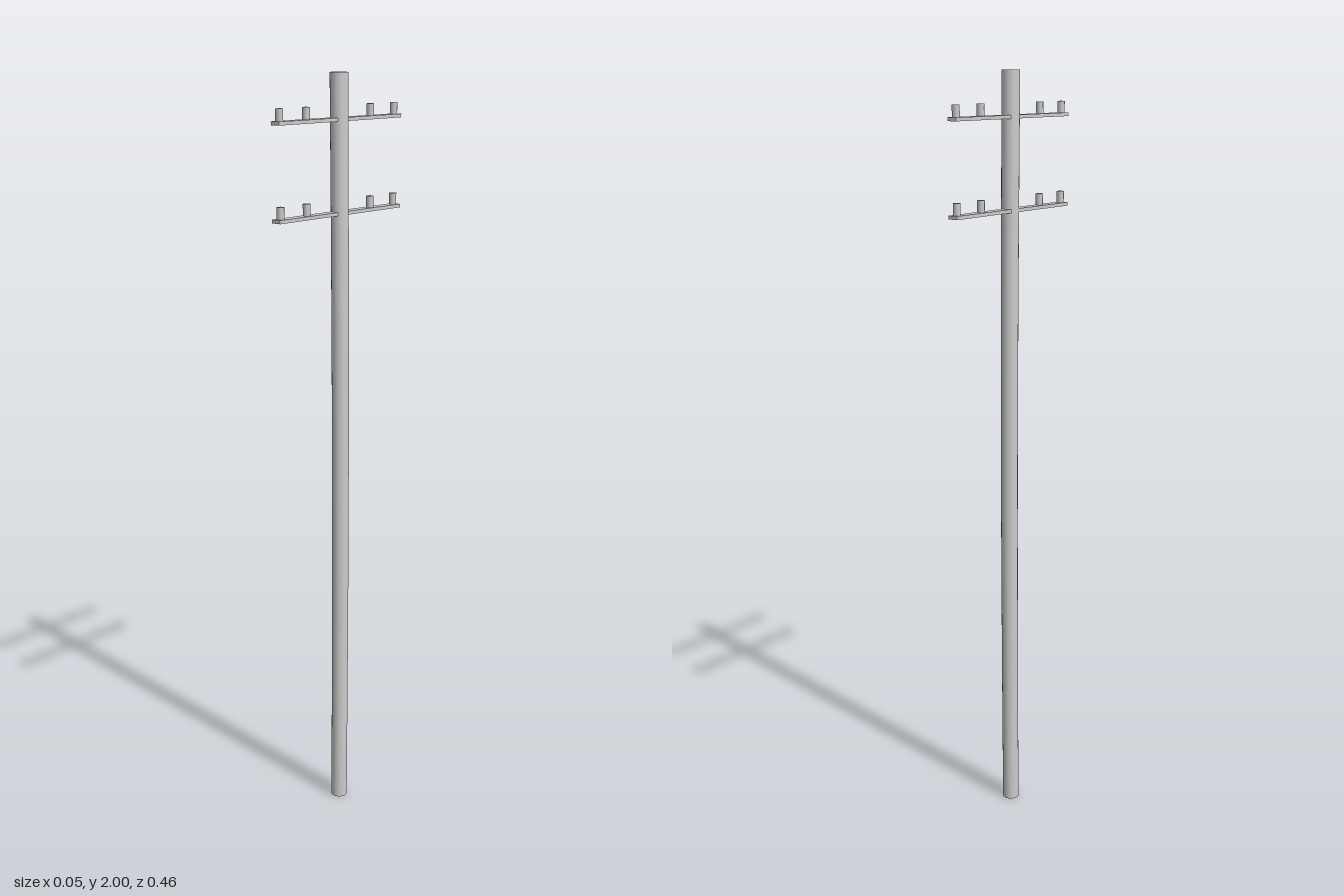
import * as THREE from 'three';

export function createModel() {
  const model = new THREE.Group();
  const grey = new THREE.MeshStandardMaterial({ color: 0xcccccc });
  const axisX = -0.003;

  function add(parent, name, geometry, x, y, z) {
    const mesh = new THREE.Mesh(geometry, grey);
    mesh.name = name;
    mesh.position.set(x, y, z);
    parent.add(mesh);
    return mesh;
  }

  // Tall round pole, bowed slightly towards +x halfway up
  const poleGeometry = new THREE.CylinderGeometry(0.023, 0.022, 2, 20, 12);
  const p = poleGeometry.attributes.position;
  for (let i = 0; i < p.count; i++) {
    const t = (p.getY(i) + 1) / 2;
    p.setX(i, p.getX(i) + 0.005 * Math.sin(Math.PI * t));
  }
  poleGeometry.computeBoundingSphere();
  add(model, 'pole', poleGeometry, axisX, 1, 0);

  // Two flat crossarms, each carrying four upright insulators
  const armGeometry = new THREE.BoxGeometry(0.027, 0.009, 0.456);
  const insulatorGeometry = new THREE.CylinderGeometry(0.0095, 0.0095, 0.032, 8);
  [['upper', 1.887], ['lower', 1.656]].forEach(([level, y]) => {
    const group = new THREE.Group();
    group.name = level + 'Crossarm';
    group.position.set(axisX, y, 0);
    add(group, 'arm', armGeometry, 0, 0, 0);
    for (const side of [-1, 1]) {
      for (const z of [0.12, 0.213]) {
        add(group, 'insulator', insulatorGeometry, 0, 0.018, side * z);
      }
    }
    model.add(group);
  });

  return model;
}
